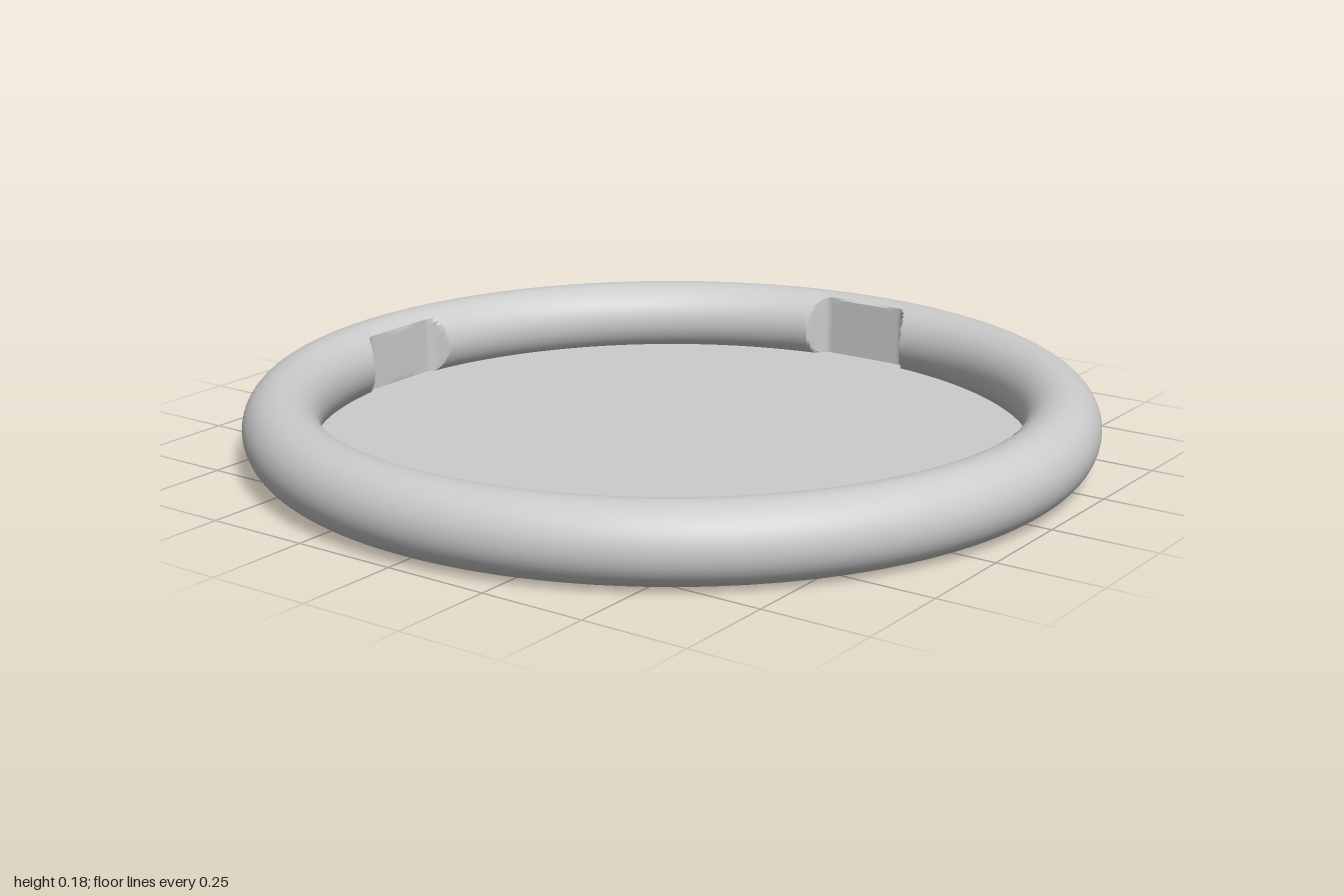
import * as THREE from 'three';
import { toCreasedNormals } from 'three/addons/utils/BufferGeometryUtils.js';

const RING_RADIUS = 0.91, TUBE = 0.09, RING_Y = 0.0905;
const HOLE = RING_RADIUS - TUBE, FLOOR_TOP = 0.023;
const NOTCH_ANGLE = 0.172, NOTCH_CORNER = 0.055;

// Smallest radius the rim may have at an angle: four straight-backed notches with rounded corners
function innerLimit(angle) {
  const quarter = Math.round(angle / (Math.PI / 2));
  const offset = Math.abs(angle - quarter * Math.PI / 2);
  if (offset >= NOTCH_ANGLE) return 0;
  const back = (quarter % 2 ? 0.853 : 0.87) / Math.cos(offset);
  const t = Math.min(1, (NOTCH_ANGLE - offset) / NOTCH_CORNER);
  return HOLE + (back - HOLE) * Math.sin(t * Math.PI / 2);
}

// Ring whose inner side is pushed out to an upright wall at each notch
function rimGeometry() {
  const geometry = new THREE.TorusGeometry(RING_RADIUS, TUBE, 48, 720);
  geometry.rotateX(-Math.PI / 2);
  const p = geometry.attributes.position;
  for (let i = 0; i < p.count; i++) {
    const x = p.getX(i), z = p.getZ(i);
    const radius = Math.hypot(x, z);
    const scale = Math.max(1, innerLimit(Math.atan2(z, x)) / radius);
    p.setXYZ(i, x * scale, p.getY(i), z * scale);
  }
  return toCreasedNormals(geometry, 0.5);
}

export function createModel() {
  const model = new THREE.Group();
  model.name = 'ringTray';
  const grey = new THREE.MeshStandardMaterial({ color: 0xcccccc });
  grey.name = 'light grey';

  function add(name, geometry, y) {
    const mesh = new THREE.Mesh(geometry, grey);
    mesh.name = name;
    mesh.position.y = y;
    model.add(mesh);
  }

  // Rounded rim with four finger notches
  add('rim', rimGeometry(), RING_Y);

  // Flat floor, closed underneath
  add('floor', new THREE.CylinderGeometry(0.91, 0.91, FLOOR_TOP, 128), FLOOR_TOP / 2);

  return model;
}
